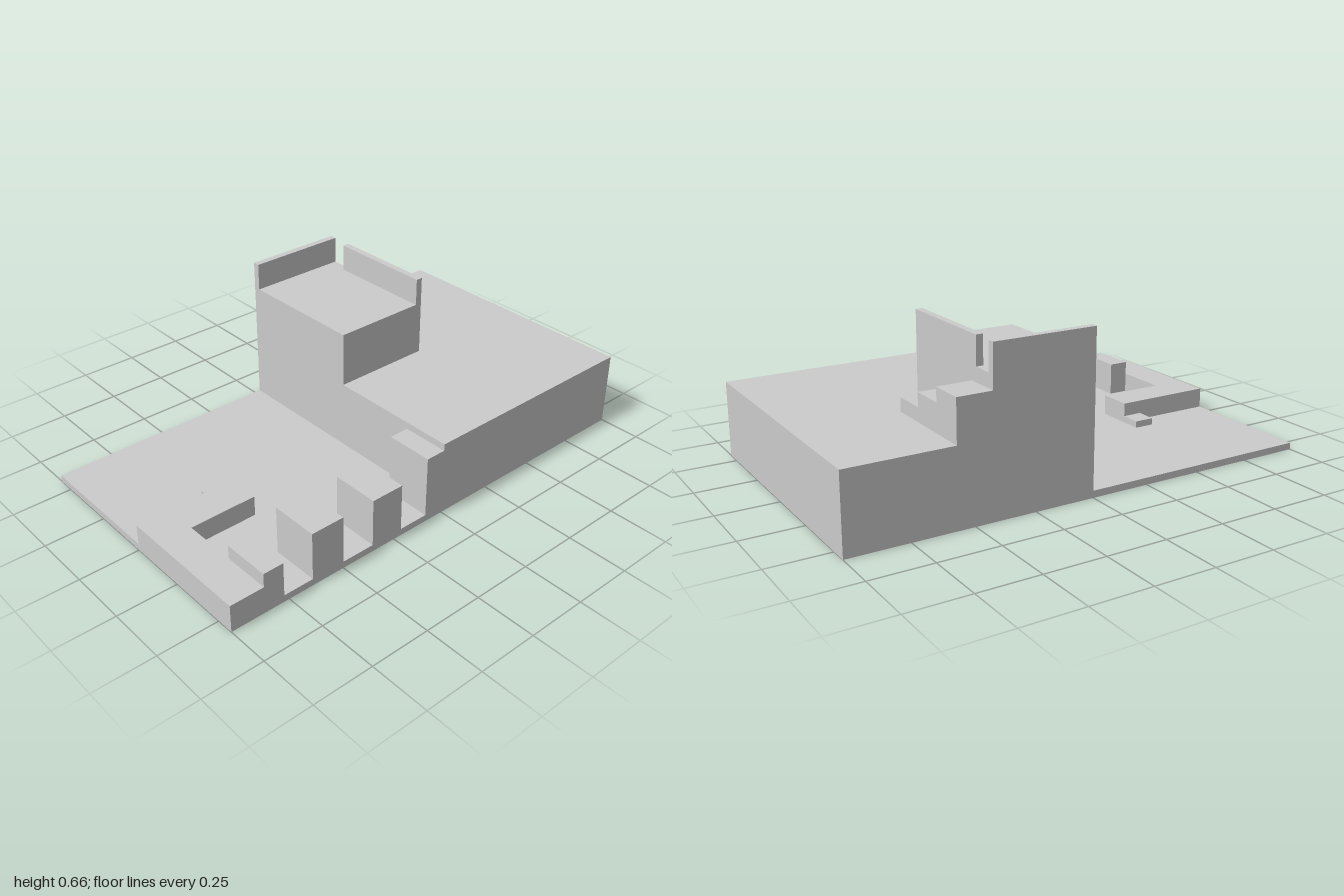
import * as THREE from 'three';

// One module of the design grid: the model is 70 modules wide.
const U = 1 / 35;

export function createModel() {
  const model = new THREE.Group();
  model.name = 'fortressTerrain';
  const material = new THREE.MeshStandardMaterial({ color: 0xcccccc, flatShading: true });

  // Box given by its limits, in modules.
  function block(name, [x0, x1], [y0, y1], [z0, z1]) {
    const geometry = new THREE.BoxGeometry((x1 - x0) * U, (y1 - y0) * U, (z1 - z0) * U);
    const mesh = new THREE.Mesh(geometry, material);
    mesh.name = name;
    mesh.position.set((x0 + x1) / 2 * U, (y0 + y1) / 2 * U, (z0 + z1) / 2 * U);
    model.add(mesh);
  }

  // Low courtyard and raised terrace
  block('courtyardFloor', [-35, 0], [0, 1], [-20, 20]);
  block('terrace', [0, 35], [0, 11], [-20, 20]);

  // L-shaped walkway with a doorstep behind it
  block('walkwayInner', [-35, -20], [1, 4], [0, 5]);
  block('walkwayOuter', [-35, -30], [1, 4], [5, 20]);
  block('doorstep', [-23, -20], [1, 2], [-3, 0]);

  // Row of pillars along the front: left limit, right limit, top
  const pillars = [[-30, -27, 6], [-22.5, -17.5, 8], [-12.5, -7.5, 8], [-3, 0, 10]];
  pillars.forEach(([x0, x1, top], i) => block(`pillar${i + 1}`, [x0, x1], [1, top], [13, 20]));

  // Tower with parapets and a gap where the stairs arrive
  block('tower', [0, 15], [11, 19], [-20, 0]);
  block('backParapet', [0, 15], [19, 23], [-20, -19]);
  block('sideParapet', [14, 15], [19, 23], [-16, 0]);

  // Stairs rising towards the back
  for (let i = 0; i < 3; i++) {
    block(`stair${i + 1}`, [15, 20], [11, 13 + 2 * i], [-10 - 5 * i, -5 - 5 * i]);
  }

  return model;
}
